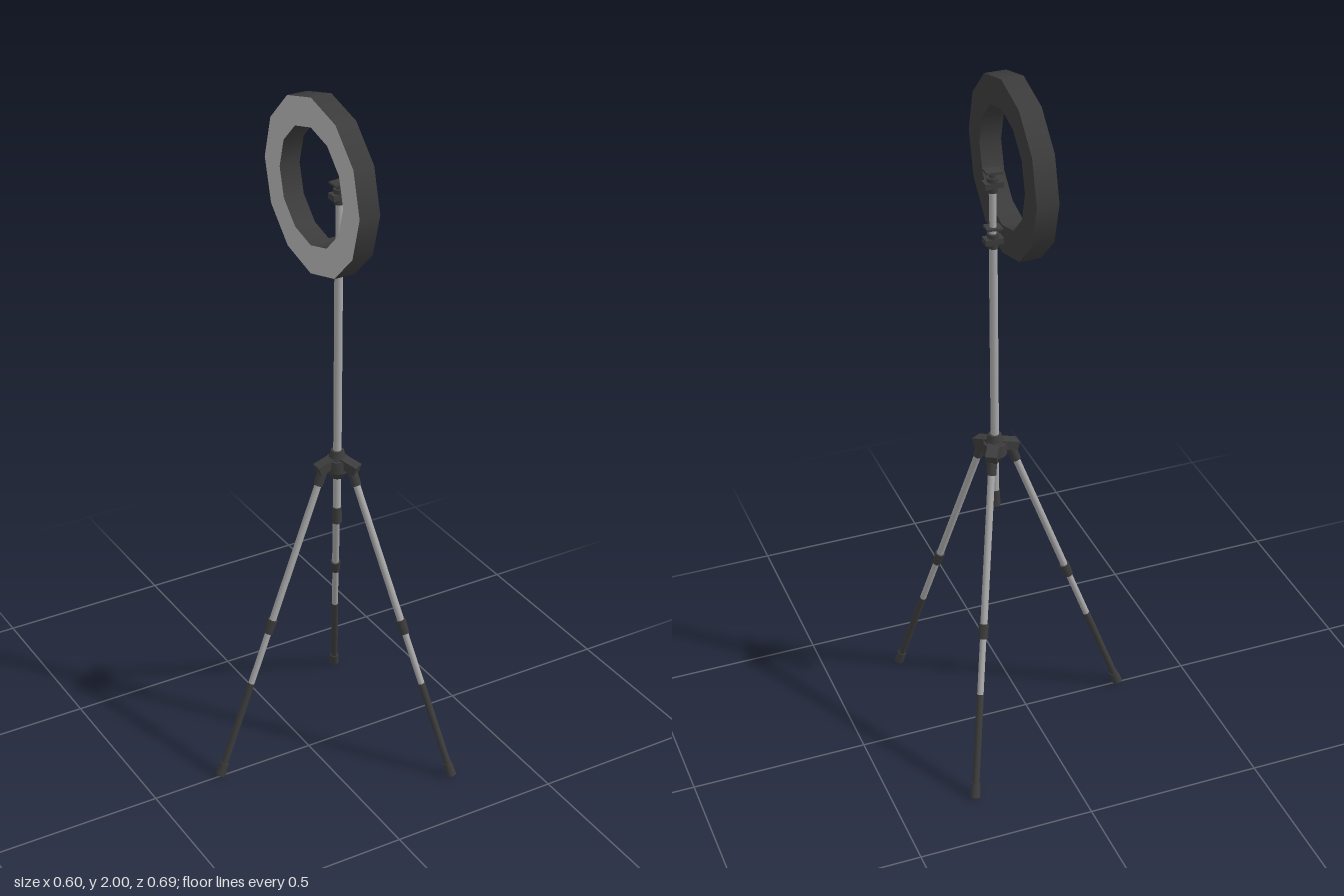
import * as THREE from 'three';

const mat = (name, color, opts = {}) => {
  const m = new THREE.MeshStandardMaterial({ color, ...opts });
  m.name = name;
  return m;
};

export function createModel() {
  const dark = mat('darkPlastic', 0x3c3c3c);
  const metal = mat('brushedMetal', 0xa8a8a8);
  const glow = mat('diffuserGrey', 0xb4b4b4);
  const model = new THREE.Group();
  model.name = 'ringLightOnTripod';
  const AXIS = 0.09; // x of the centre column

  const add = (parent, name, geo, material, x = 0, y = 0, z = 0) => {
    const mesh = new THREE.Mesh(geo, material);
    mesh.name = name;
    mesh.position.set(x, y, z);
    parent.add(mesh);
    return mesh;
  };
  // Upright cylinder between two heights
  const post = (parent, name, y0, y1, rBottom, rTop, material, sides = 12) =>
    add(parent, name, new THREE.CylinderGeometry(rTop, rBottom, y1 - y0, sides), material, 0, (y0 + y1) / 2);
  // Cylinder between two points
  const rod = (parent, name, a, b, rA, rB, material, sides = 12) => {
    const d = b.clone().sub(a);
    const m = add(parent, name, new THREE.CylinderGeometry(rB, rA, d.length(), sides), material);
    m.position.copy(a).add(b).multiplyScalar(0.5);
    m.quaternion.setFromUnitVectors(new THREE.Vector3(0, 1, 0), d.normalize());
    return m;
  };

  // Ring lamp: axis along x, lit face towards -x
  const lamp = new THREE.Group();
  lamp.name = 'ringLamp';
  lamp.position.set(0.035, 1.758, 0);
  model.add(lamp);
  const R = 0.242, r = 0.162, h = 0.03, N = 12;
  const wall = (name, rad, from, to) => {
    const pts = [new THREE.Vector2(rad, from), new THREE.Vector2(rad, to)];
    add(lamp, name, new THREE.LatheGeometry(pts, N), dark).rotation.z = -Math.PI / 2;
  };
  wall('outerRim', R, -h, h);
  wall('innerRim', r, h, -h);
  add(lamp, 'lampBack', new THREE.RingGeometry(r, R, N), dark, h).rotation.y = Math.PI / 2;
  add(lamp, 'lampDiffuser', new THREE.RingGeometry(r, R, N), glow, -h).rotation.y = -Math.PI / 2;

  // Centre column
  const column = new THREE.Group();
  column.name = 'column';
  column.position.x = AXIS;
  model.add(column);
  post(column, 'columnEndCap', 0.735, 0.785, 0.014, 0.013, dark);
  post(column, 'lowerColumn', 0.78, 0.9, 0.011, 0.011, metal);
  post(column, 'mainColumn', 0.94, 1.55, 0.0115, 0.0115, metal);
  post(column, 'upperColumn', 1.55, 1.705, 0.0095, 0.0095, metal);

  // Two clamps holding the lamp and the phone mount
  for (const [name, y] of [['lowerClamp', 1.535], ['upperClamp', 1.695]]) {
    const clamp = new THREE.Group();
    clamp.name = name;
    clamp.position.set(AXIS, y, 0);
    model.add(clamp);
    post(clamp, 'clampBody', 0, 0.042, 0.014, 0.016, dark);
    post(clamp, 'clampNeck', 0.04, 0.06, 0.009, 0.009, dark);
    add(clamp, 'clampJaw', new THREE.BoxGeometry(0.05, 0.016, 0.03), dark, 0, 0.022);
    add(clamp, 'clampPlate', new THREE.BoxGeometry(0.044, 0.006, 0.034), dark, 0, 0.058).rotation.z = 0.08;
  }

  // Hub where the legs meet
  const hub = new THREE.Group();
  hub.name = 'hub';
  hub.position.x = AXIS;
  model.add(hub);
  post(hub, 'hubCollar', 0.935, 0.966, 0.027, 0.018, dark);
  post(hub, 'hubBody', 0.905, 0.94, 0.034, 0.032, dark);
  post(hub, 'hubSkirt', 0.882, 0.905, 0.018, 0.034, dark);

  // Three legs, each built along +x and turned about the column
  const onLeg = (y) => new THREE.Vector3(0.378 - 0.37 * (y - 0.015), y, 0);
  for (let i = 0; i < 3; i++) {
    const leg = new THREE.Group();
    leg.name = 'leg' + (i + 1);
    leg.position.x = AXIS;
    leg.rotation.y = Math.PI + (i * Math.PI * 2) / 3;
    model.add(leg);
    add(leg, 'hubArm', new THREE.BoxGeometry(0.058, 0.026, 0.032), dark, 0.036, 0.928).rotation.z = -0.3;
    rod(leg, 'legSocket', onLeg(0.872), onLeg(0.93), 0.0135, 0.0145, dark);
    rod(leg, 'upperTube', onLeg(0.46), onLeg(0.88), 0.01, 0.01, metal);
    rod(leg, 'legCollar', onLeg(0.438), onLeg(0.478), 0.0125, 0.0145, dark, 8);
    rod(leg, 'lowerTube', onLeg(0.285), onLeg(0.445), 0.009, 0.009, metal);
    rod(leg, 'lowerSleeve', onLeg(0.03), onLeg(0.287), 0.01, 0.01, dark);
    rod(leg, 'foot', onLeg(0.005), onLeg(0.042), 0.0145, 0.0125, dark, 8);
  }
  return model;
}
